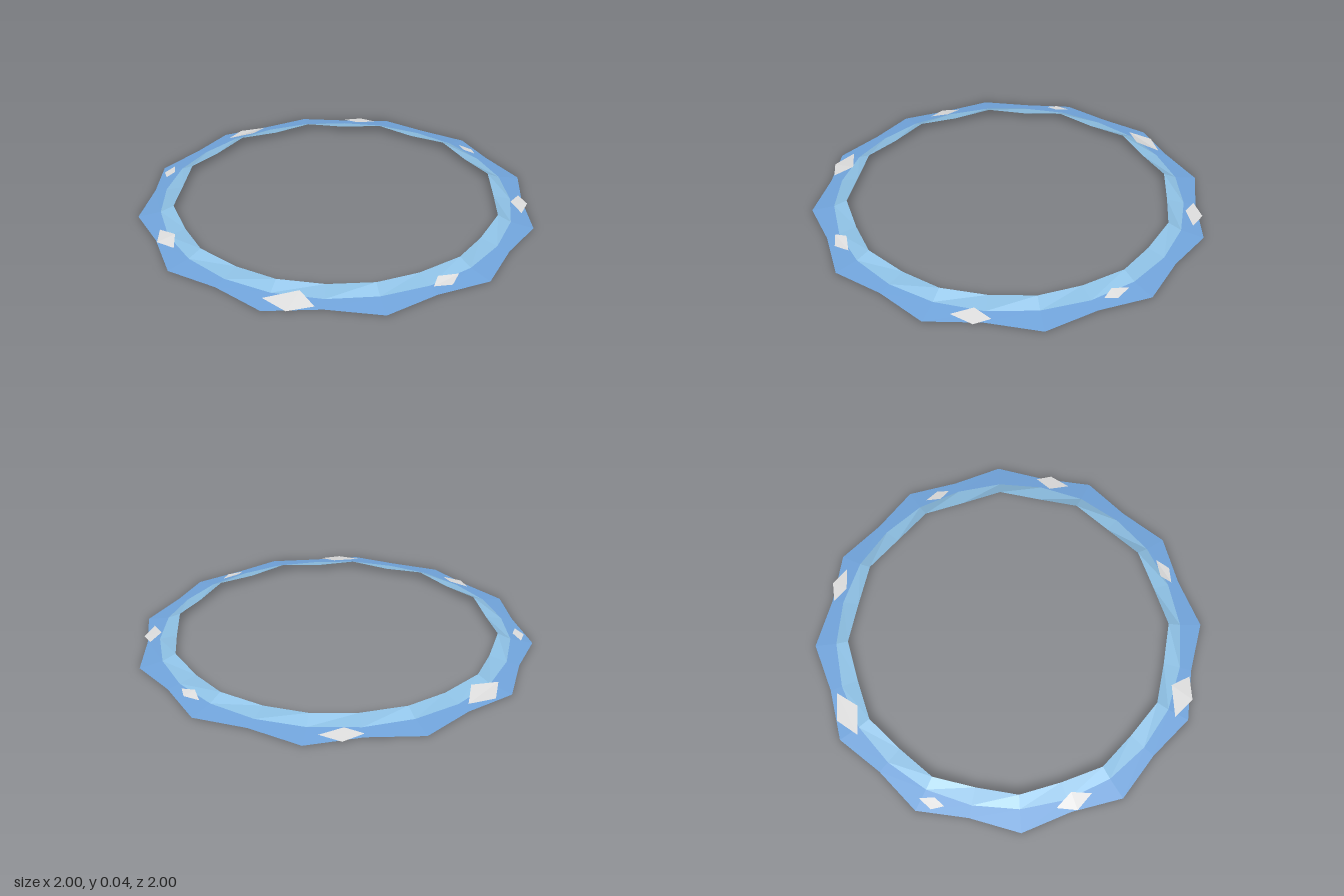
import * as THREE from 'three';

const SEGMENTS = 24;

// Cross-section radii and heights; every second spoke is pulled in and lowered
const OUTER = { even: [1.0, 0.0], odd: [0.948, 0.005] };
const MIDDLE = { even: [0.89, 0.015], odd: [0.888, 0.013] };
const INNER = { even: [0.825, 0.042], odd: [0.803, 0.028] };

function ringPoint(loop, i) {
  const [r, y] = i % 2 ? loop.odd : loop.even;
  const a = (i / SEGMENTS) * Math.PI * 2;
  return [r * Math.sin(a), y, r * Math.cos(a)];
}

// Builds flat-faced geometry from a list of quads, counterclockwise from above
function quadGeometry(quads) {
  const pos = [];
  for (const [a, b, c, d] of quads) pos.push(...a, ...b, ...c, ...a, ...c, ...d);
  const geo = new THREE.BufferGeometry();
  geo.setAttribute('position', new THREE.Float32BufferAttribute(pos, 3));
  geo.computeVertexNormals();
  return geo;
}

// Sloping band between two loops of the ring
function band(outer, inner) {
  const quads = [];
  for (let i = 0; i < SEGMENTS; i++) {
    const j = (i + 1) % SEGMENTS;
    quads.push([ringPoint(outer, i), ringPoint(outer, j), ringPoint(inner, j), ringPoint(inner, i)]);
  }
  return quadGeometry(quads);
}

// Height of a flake corner lying just above the ring
function flakeHeight(x, z) {
  const r = Math.hypot(x, z);
  const surface = r > 0.89 ? 0.015 * Math.max(0, (1 - r) / 0.11) : 0.015 + (0.89 - r) * 0.36;
  return surface + 0.007;
}

// Flake outlines as x, z corners
const FLAKES = [
  [[-0.405, -0.88], [-0.265, -0.88], [-0.34, -0.775], [-0.485, -0.775]],
  [[0.24, -0.905], [0.345, -0.915], [0.42, -0.84], [0.305, -0.84]],
  [[0.81, -0.41], [0.865, -0.345], [0.86, -0.285], [0.81, -0.33]],
  [[0.91, 0.21], [0.925, 0.29], [0.855, 0.38], [0.84, 0.275]],
  [[0.275, 0.82], [0.375, 0.81], [0.325, 0.875], [0.24, 0.875]],
  [[-0.485, 0.8], [-0.325, 0.8], [-0.28, 0.9], [-0.4, 0.9]],
  [[-0.895, 0.175], [-0.825, 0.25], [-0.835, 0.35], [-0.91, 0.275]],
  [[-0.865, -0.425], [-0.81, -0.48], [-0.81, -0.405], [-0.855, -0.36]],
];

export function createModel() {
  const model = new THREE.Group();
  model.name = 'ring';

  const material = (name, color) => {
    const m = new THREE.MeshStandardMaterial({ color, side: THREE.DoubleSide });
    m.name = name;
    return m;
  };
  const blue = material('blue', 0x72a6de);
  const paleBlue = material('paleBlue', 0x8fc2e6);
  const paleGrey = material('paleGrey', 0xe0e0e0);

  const add = (name, geometry, mat, parent = model) => {
    const mesh = new THREE.Mesh(geometry, mat);
    mesh.name = name;
    parent.add(mesh);
  };

  // Low zigzag rim and the raised lip inside it
  add('outerBand', band(OUTER, MIDDLE), blue);
  add('innerBand', band(MIDDLE, INNER), paleBlue);

  // Thin flakes scattered around the ring
  const flakes = new THREE.Group();
  flakes.name = 'flakes';
  model.add(flakes);
  FLAKES.forEach((outline, i) => {
    const corners = outline.map(([x, z]) => [x, flakeHeight(x, z), z]).reverse();
    add(`flake${i + 1}`, quadGeometry([corners]), paleGrey, flakes);
  });

  return model;
}
